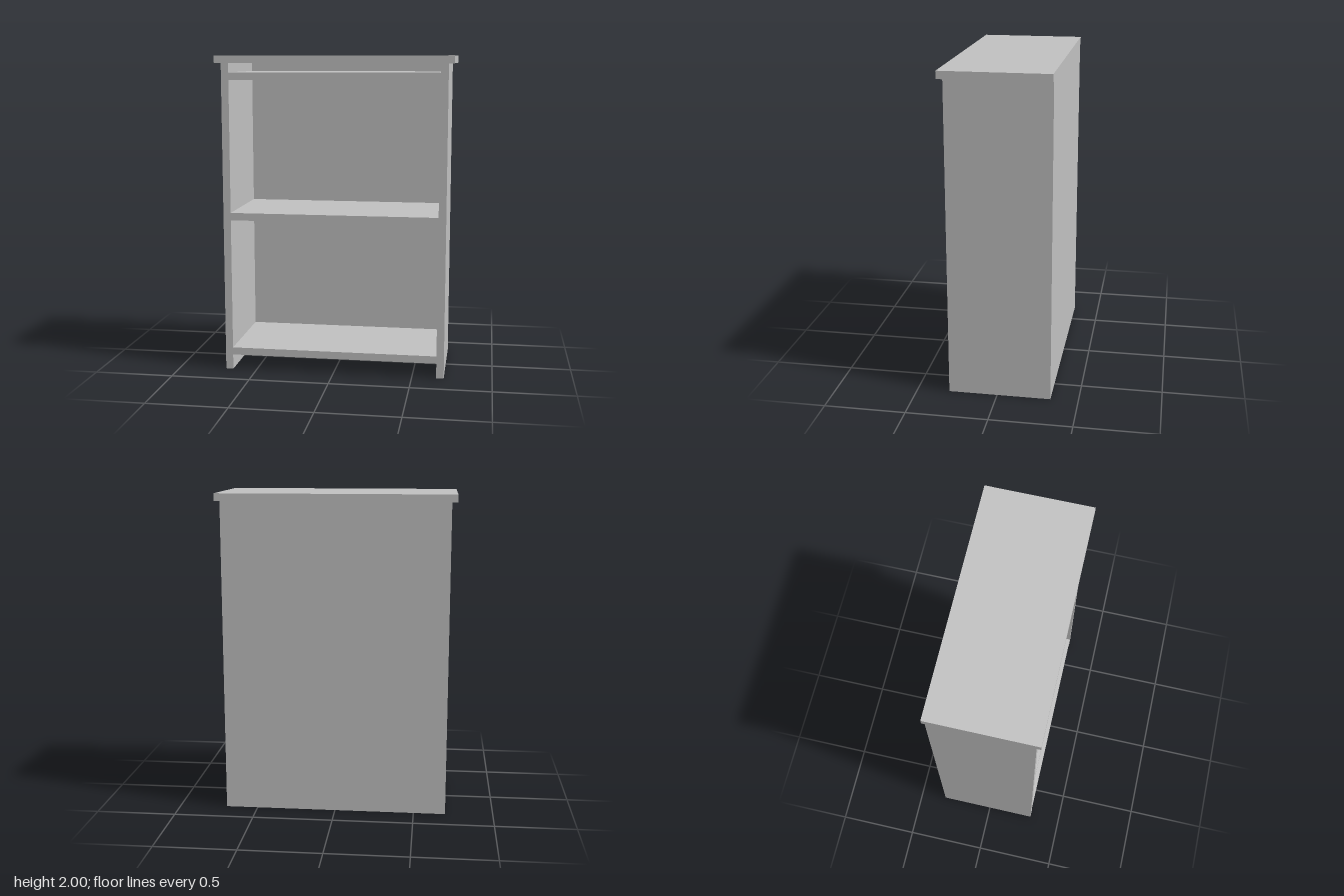
import * as THREE from 'three';

export function createModel() {
  const model = new THREE.Group();
  model.name = 'bookcase';

  const greyPaint = new THREE.MeshStandardMaterial({ color: 0xc0c0c0 });
  greyPaint.name = 'greyPaint';

  // Adds a box given by its lower and upper limits on each axis
  function board(name, [x0, x1], [y0, y1], [z0, z1]) {
    const mesh = new THREE.Mesh(new THREE.BoxGeometry(x1 - x0, y1 - y0, z1 - z0), greyPaint);
    mesh.position.set((x0 + x1) / 2, (y0 + y1) / 2, (z0 + z1) / 2);
    mesh.name = name;
    model.add(mesh);
  }

  const back = -0.33, inner = -0.32, front = 0.3, underTop = 1.953;

  // Overhanging top
  board('topBoard', [-0.735, 0.735], [underTop, 2], [back, 0.33]);

  // Sides, reaching the floor
  board('leftSide', [0.653, 0.7], [0, underTop], [inner, front]);
  board('rightSide', [-0.7, -0.653], [0, underTop], [inner, front]);

  // Thin back panel
  board('backPanel', [-0.7, 0.7], [0, underTop], [back, inner]);

  // Shelves, flush with the front of the sides
  const shelves = { bottomShelf: 0.095, middleShelf: 0.972, upperShelf: 1.85 };
  for (const [name, y] of Object.entries(shelves)) {
    board(name, [-0.653, 0.653], [y, y + 0.047], [inner, front]);
  }

  return model;
}
